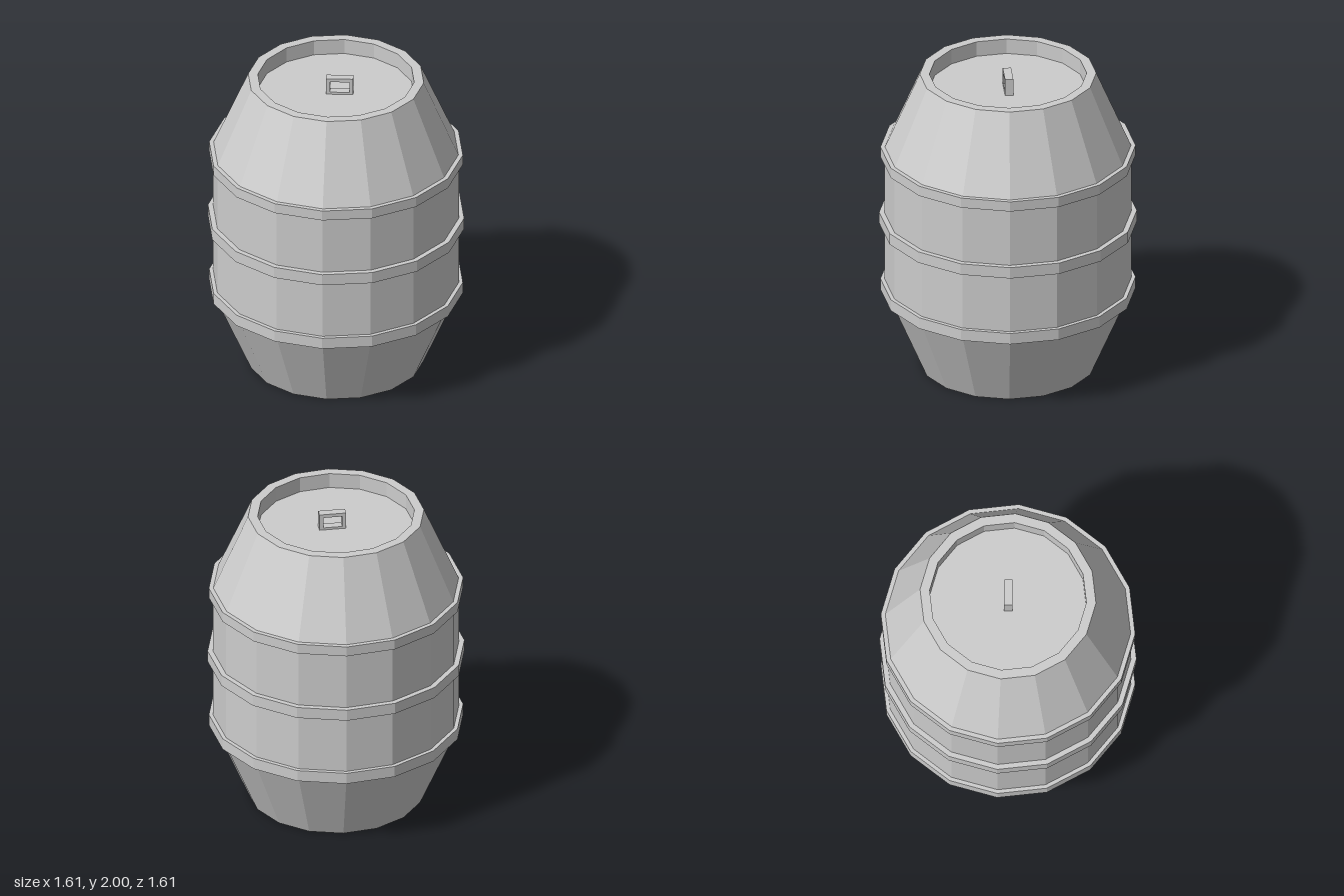
import * as THREE from 'three';

const SIDES = 16;

export function createModel() {
  const group = new THREE.Group();
  group.name = 'barrel';
  const grey = new THREE.MeshStandardMaterial({ color: 0xcccccc, flatShading: true });
  grey.name = 'light grey';

  const add = (name, geometry) => {
    const mesh = new THREE.Mesh(geometry, grey);
    mesh.name = name;
    group.add(mesh);
    return mesh;
  };
  const lathe = (points) =>
    new THREE.LatheGeometry(points.map(([r, y]) => new THREE.Vector2(r, y)), SIDES);

  // Staved body with recessed bottom and lid
  add('body', lathe([
    [0, 0.1], [0.49, 0.1], [0.49, 0], [0.55, 0], [0.77, 0.51],
    [0.77, 1.48], [0.55, 1.99], [0.49, 1.99], [0.49, 1.89], [0, 1.89],
  ]));

  // Three hoops
  const hoops = [
    ['lowerHoop', 0.5, 0.575, 0.795],
    ['middleHoop', 0.96, 1.035, 0.803],
    ['upperHoop', 1.42, 1.487, 0.795],
  ];
  for (const [name, y0, y1, r] of hoops) {
    add(name, lathe([[0.74, y0], [r, y0], [r, y1], [0.74, y1]]));
  }

  // Lid handle: an upright rectangular frame
  const rectangle = (Type, x, y0, y1) => new Type([
    new THREE.Vector2(-x, y0), new THREE.Vector2(x, y0),
    new THREE.Vector2(x, y1), new THREE.Vector2(-x, y1),
  ]);
  const frame = rectangle(THREE.Shape, 0.084, 0, 0.115);
  frame.holes.push(rectangle(THREE.Path, 0.06, 0.02, 0.092));
  const handleGeometry = new THREE.ExtrudeGeometry(frame, { depth: 0.052, bevelEnabled: false });
  handleGeometry.translate(0, 0, -0.026);
  const handle = add('handle', handleGeometry);
  handle.position.set(0.024, 1.885, 0);
  handle.rotation.y = 0.07;

  return group;
}
